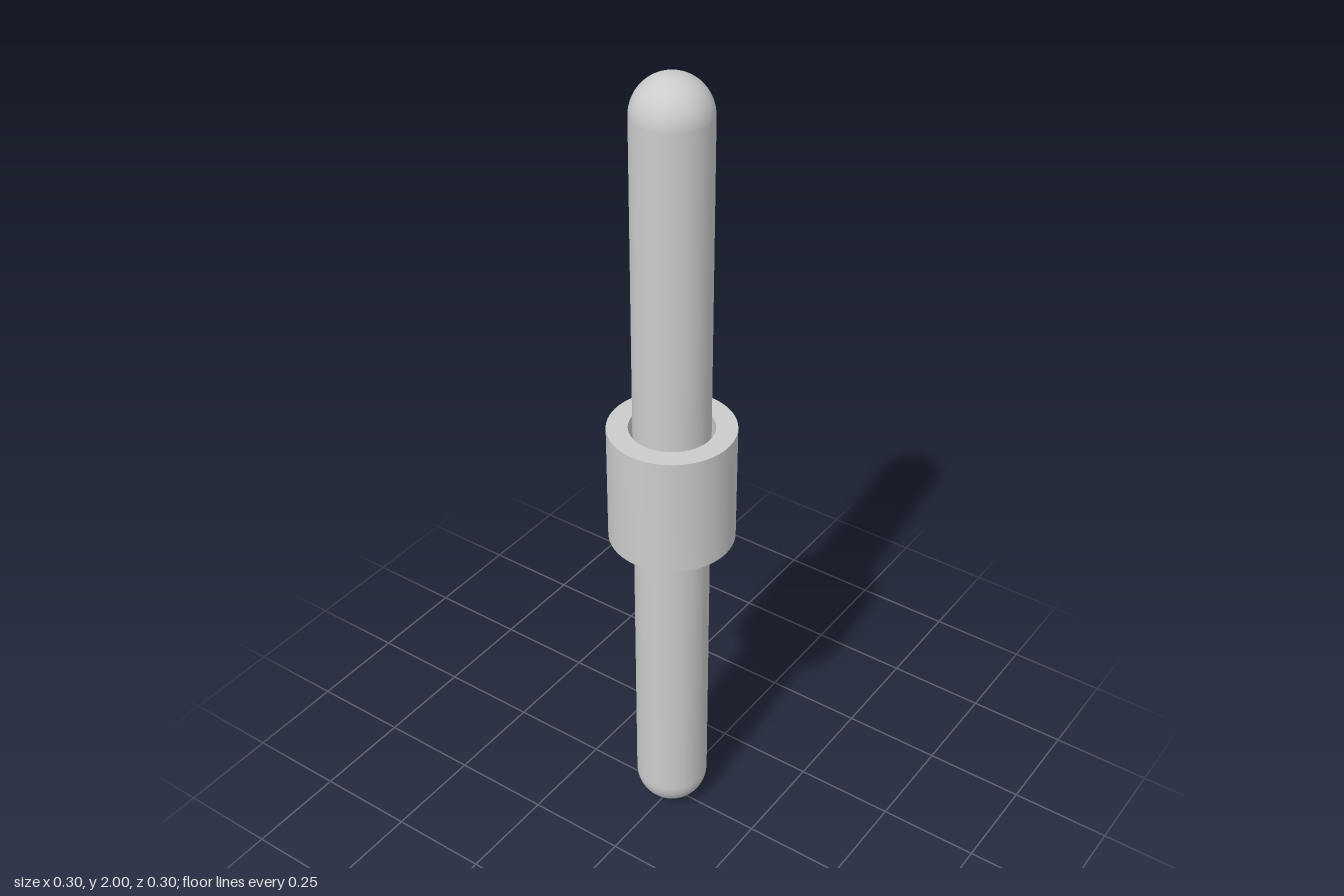
import * as THREE from 'three';
import { toCreasedNormals } from 'three/addons/utils/BufferGeometryUtils.js';

const ROD_RADIUS = 0.09;
const COLLAR_INNER = 0.1;
const COLLAR_OUTER = 0.15;
const COLLAR_HEIGHT = 0.3;
const HEIGHT = 2;
const SEGMENTS = 64;

export function createModel() {
  const group = new THREE.Group();
  const material = new THREE.MeshStandardMaterial({ color: 0xcccccc });

  // Round-ended rod
  const rod = new THREE.Mesh(
    new THREE.CapsuleGeometry(ROD_RADIUS, HEIGHT - 2 * ROD_RADIUS, 16, SEGMENTS),
    material
  );
  rod.name = 'rod';
  rod.position.y = HEIGHT / 2;
  group.add(rod);

  // Hollow collar around the middle, with a small clearance to the rod
  const h = COLLAR_HEIGHT / 2;
  const profile = [
    [COLLAR_INNER, -h],
    [COLLAR_OUTER, -h],
    [COLLAR_OUTER, h],
    [COLLAR_INNER, h],
    [COLLAR_INNER, -h],
  ].map(([r, y]) => new THREE.Vector2(r, y));
  const collar = new THREE.Mesh(
    toCreasedNormals(new THREE.LatheGeometry(profile, SEGMENTS), Math.PI / 6),
    material
  );
  collar.name = 'collar';
  collar.position.y = HEIGHT / 2;
  group.add(collar);

  return group;
}
